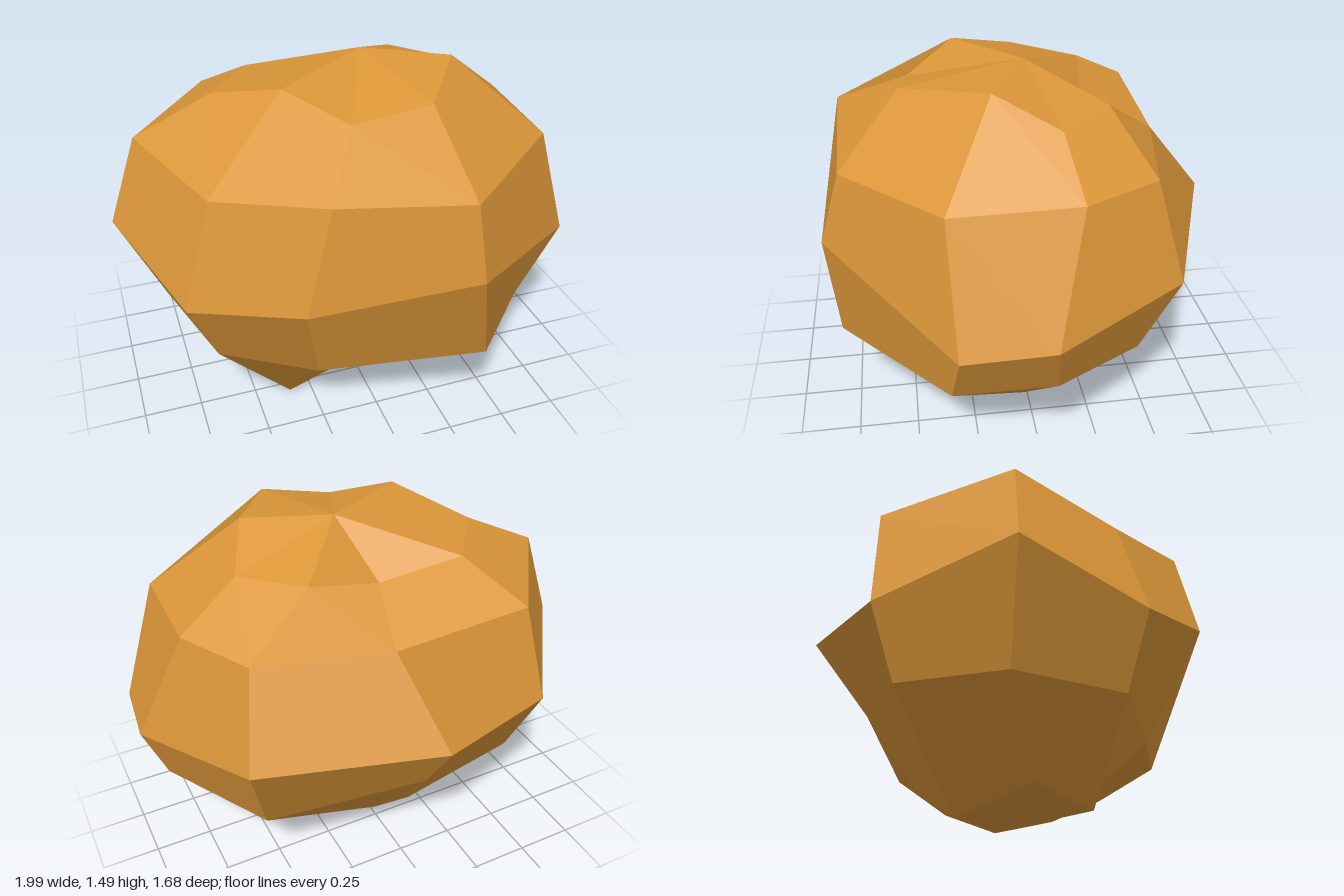
import * as THREE from 'three';

// Cross-sections of the boulder from top to bottom: nine [x, y, z] corners each,
// running from the right side (-x) past the front (+z) and round the back.
const top = [0.09, 1.49, -0.02];
const crown = [
  [-0.54, 1.36, -0.05], [-0.32, 1.46, 0.24], [-0.11, 1.37, 0.45],
  [0.20, 1.43, 0.49], [0.43, 1.475, 0.15], [0.55, 1.36, -0.10],
  [0.34, 1.37, -0.32], [0.02, 1.29, -0.28], [-0.33, 1.35, -0.33],
];
const shoulder = [
  [-0.87, 1.20, -0.07], [-0.66, 1.11, 0.38], [-0.29, 1.22, 0.76],
  [0.29, 1.12, 0.75], [0.78, 1.16, 0.36], [0.80, 1.18, -0.14],
  [0.64, 1.18, -0.45], [0.10, 1.16, -0.57], [-0.49, 1.20, -0.58],
];
const waist = [
  [-1.00, 0.82, -0.08], [-0.79, 0.67, 0.45], [-0.40, 0.80, 0.80],
  [0.30, 0.82, 0.84], [0.95, 0.65, 0.34], [0.99, 0.69, -0.02],
  [0.71, 0.76, -0.56], [0.00, 0.82, -0.84], [-0.63, 0.71, -0.59],
];
const underside = [
  [-0.80, 0.38, -0.08], [-0.67, 0.37, 0.38], [-0.29, 0.32, 0.56],
  [0.36, 0.43, 0.79], [0.74, 0.33, 0.36], [0.90, 0.47, -0.04],
  [0.61, 0.39, -0.43], [-0.05, 0.47, -0.59], [-0.53, 0.42, -0.49],
];
const foot = [
  [-0.47, 0.08, 0.06], [-0.35, 0.01, 0.31], [-0.05, 0.13, 0.32],
  [0.09, 0.18, 0.45], [0.47, 0.18, 0.31], [0.53, 0.13, 0.04],
  [0.39, 0.17, -0.21], [0.06, 0.16, -0.35], [-0.20, 0.00, -0.22],
];
const bottom = [-0.03, 0.04, 0.15];

// Skin the cross-sections with facets, one flat normal per facet
function facetedSkin(rings) {
  const positions = [], normals = [];
  const facet = (...corners) => {
    const p = corners.map((c) => new THREE.Vector3(...c));
    const last = p[p.length - 1];
    const n = p[2].clone().sub(p[0]).cross(last.clone().sub(p[1]));
    if (p.length === 3) n.copy(p[1]).sub(p[0]).cross(p[2].clone().sub(p[0]));
    n.normalize();
    for (let i = 1; i < p.length - 1; i++) {
      for (const v of [p[0], p[i], p[i + 1]]) {
        positions.push(v.x, v.y, v.z);
        normals.push(n.x, n.y, n.z);
      }
    }
  };

  const sides = rings[0].length;
  const last = rings[rings.length - 1];
  for (let k = 0; k < sides; k++) {
    const next = (k + 1) % sides;
    facet(top, rings[0][k], rings[0][next]);
    for (let r = 0; r < rings.length - 1; r++) {
      facet(rings[r][k], rings[r + 1][k], rings[r + 1][next], rings[r][next]);
    }
    facet(bottom, last[next], last[k]);
  }

  const geometry = new THREE.BufferGeometry();
  geometry.setAttribute('position', new THREE.Float32BufferAttribute(positions, 3));
  geometry.setAttribute('normal', new THREE.Float32BufferAttribute(normals, 3));
  return geometry;
}

export function createModel() {
  const group = new THREE.Group();
  group.name = 'boulder';

  const ochre = new THREE.MeshStandardMaterial({ color: 0xdb9638 });
  ochre.name = 'ochre';

  // Rough stone body
  const stone = new THREE.Mesh(facetedSkin([crown, shoulder, waist, underside, foot]), ochre);
  stone.name = 'stone';
  group.add(stone);
  return group;
}
